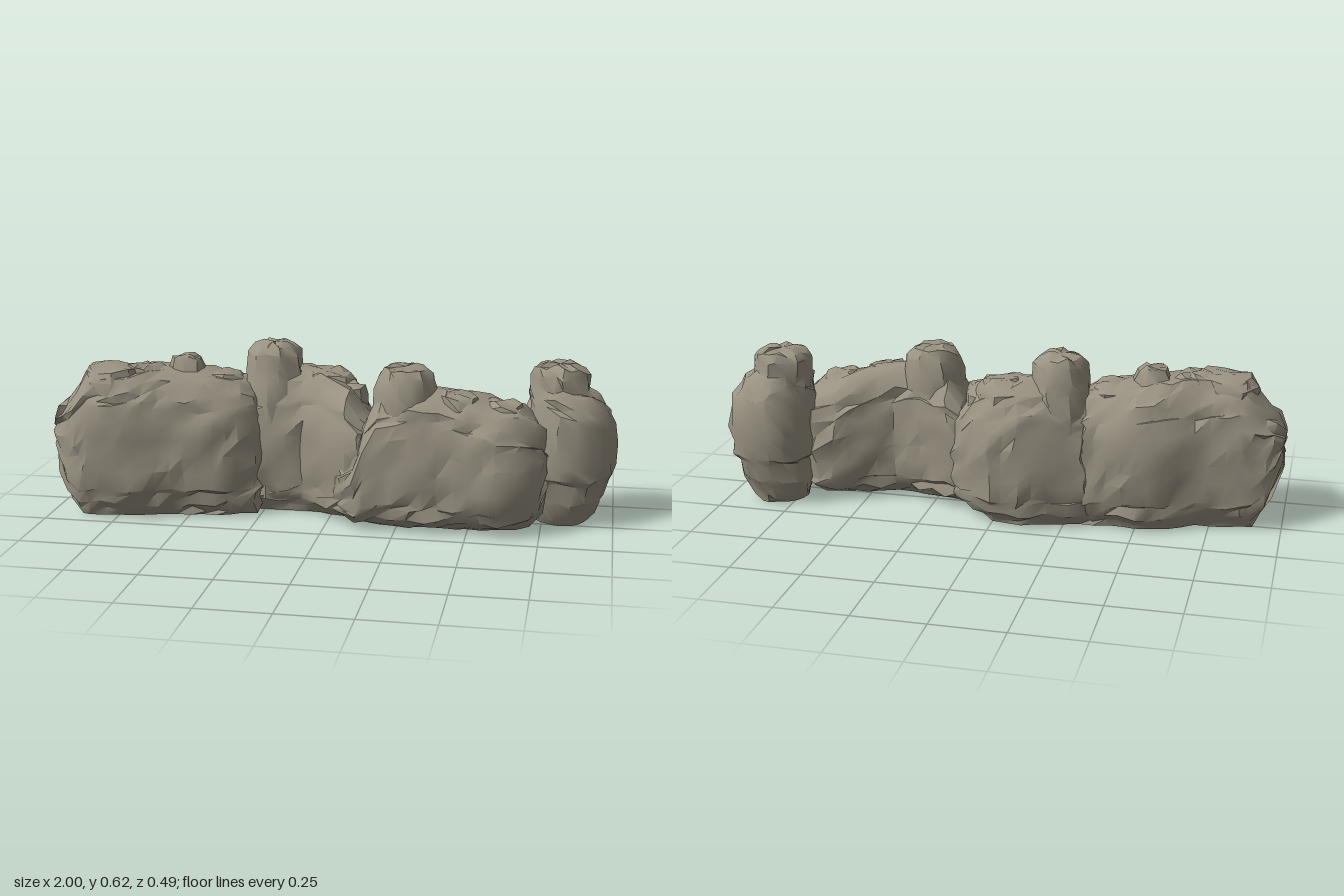
import * as THREE from 'three';
import { toCreasedNormals } from 'three/addons/utils/BufferGeometryUtils.js';

const stone = new THREE.MeshStandardMaterial({ color: 0x9a9383 });
stone.name = 'weathered stone';

// Seeded random, centred on zero
let seed = 7;
function rand() {
  seed = (seed * 16807) % 2147483647;
  return seed / 2147483647 - 0.5;
}

// Skin a list of closed rings, cap both ends and roughen the surface
function skin(name, rings, rough) {
  const n = rings[0].length;
  const pos = [];
  const index = [];
  for (const ring of rings) {
    for (const p of ring) {
      const onGround = p.y < 0.005;
      const y = onGround ? 0 : Math.max(0, p.y + rand() * rough * 1.2);
      pos.push(p.x + rand() * rough, y, p.z + rand() * rough);
    }
  }
  for (let i = 0; i < rings.length - 1; i++) {
    for (let j = 0; j < n; j++) {
      const k = (j + 1) % n;
      const a = i * n + j, b = i * n + k, c = b + n, d = a + n;
      index.push(a, d, c, a, c, b);
    }
  }
  for (const last of [false, true]) {
    const ring = rings[last ? rings.length - 1 : 0];
    const mid = ring.reduce((s, p) => s.add(p), new THREE.Vector3()).divideScalar(n);
    const centre = pos.length / 3;
    pos.push(mid.x, mid.y, mid.z);
    const start = last ? (rings.length - 1) * n : 0;
    for (let j = 0; j < n; j++) {
      const a = start + j, b = start + (j + 1) % n;
      if (last) index.push(centre, b, a);
      else index.push(centre, a, b);
    }
  }
  const geo = new THREE.BufferGeometry();
  geo.setAttribute('position', new THREE.Float32BufferAttribute(pos, 3));
  geo.setIndex(index);
  const mesh = new THREE.Mesh(toCreasedNormals(geo, 0.6), stone);
  mesh.name = name;
  return mesh;
}

// Half of the wall section above its foot, with low ledges: [share of half width, share of height]
const side = [
  [0.86, 0.1], [0.9, 0.17], [0.955, 0.2], [1, 0.33], [1, 0.45], [1, 0.56],
  [0.97, 0.68], [0.91, 0.77], [0.86, 0.8], [0.78, 0.86], [0.64, 0.93], [0.4, 0.985],
];

// Wall from stations [x, back z, front z, bottom, top] on a foot of the given share of width
function wall(name, foot, stations) {
  const half = [[foot, 0], [foot * 0.55 + 0.35, 0.04], ...side];
  const section = [...half, [0, 1], ...half.slice().reverse().map(([w, h]) => [-w, h])];
  const rings = [];
  const addRing = ([x, back, front, bottom, top]) => {
    const mid = (back + front) / 2, w = (front - back) / 2;
    rings.push(section.map(([u, v]) =>
      new THREE.Vector3(x, bottom + v * (top - bottom), mid + u * w)));
  };
  stations.forEach((s, i) => {
    const next = stations[i + 1];
    if (!next) return addRing(s);
    const steps = Math.max(1, Math.round((next[0] - s[0]) / 0.05));
    for (let k = 0; k < steps; k++) {
      addRing(s.map((v, c) => THREE.MathUtils.lerp(v, next[c], k / steps)));
    }
  });
  return skin(name, rings, 0.02);
}

// Upright rock from a profile of [radius, y, x shift]
function pillar(name, x, z, profile, sides = 15) {
  const rings = profile.map(([r, y, shift = 0]) =>
    Array.from({ length: sides }, (_, j) => {
      const a = (j / sides) * Math.PI * 2;
      return new THREE.Vector3(x + shift + r * Math.cos(a), y, z + r * Math.sin(a));
    }));
  return skin(name, rings, 0.017);
}

export function createModel() {
  seed = 7;
  const group = new THREE.Group();
  group.name = 'rockWall';

  // Three winding stretches of wall
  group.add(wall('leftWall', 0.64, [
    [-0.99, 0.03, 0.13, 0.21, 0.35],
    [-0.965, -0.02, 0.165, 0.12, 0.4],
    [-0.93, -0.045, 0.195, 0.05, 0.43],
    [-0.89, -0.06, 0.215, 0, 0.48],
    [-0.85, -0.07, 0.23, 0, 0.53],
    [-0.7, -0.1, 0.23, 0, 0.53],
    [-0.6, -0.16, 0.2, 0, 0.53],
    [-0.5, -0.185, 0.175, 0, 0.52],
    [-0.4, -0.175, 0.16, 0, 0.5],
    [-0.32, -0.17, 0.13, 0, 0.49],
    [-0.27, -0.14, 0.09, 0, 0.46],
    [-0.25, -0.1, 0.04, 0.02, 0.42],
  ]));
  group.add(wall('middleWall', 0.55, [
    [-0.36, -0.13, 0.02, 0, 0.42],
    [-0.32, -0.17, 0.05, 0, 0.47],
    [-0.2, -0.215, 0.06, 0, 0.52],
    [-0.1, -0.24, 0.055, 0, 0.52],
    [0, -0.235, 0.11, 0, 0.5],
    [0.07, -0.205, 0.17, 0.02, 0.47],
    [0.11, -0.17, 0.18, 0.03, 0.41],
    [0.16, -0.11, 0.16, 0.03, 0.37],
  ]));
  group.add(wall('rightWall', 0.3, [
    [0.03, 0.03, 0.13, 0.04, 0.22],
    [0.06, -0.02, 0.175, 0.025, 0.25],
    [0.11, -0.07, 0.2, 0.01, 0.3],
    [0.14, -0.1, 0.205, 0, 0.41],
    [0.19, -0.095, 0.205, 0, 0.48],
    [0.3, -0.05, 0.21, 0, 0.5],
    [0.4, -0.04, 0.2, 0, 0.49],
    [0.5, -0.09, 0.21, 0, 0.47],
    [0.6, -0.135, 0.225, 0, 0.45],
    [0.67, -0.13, 0.205, 0, 0.44],
    [0.72, -0.1, 0.17, 0.02, 0.4],
    [0.75, -0.07, 0.13, 0.06, 0.36],
    [0.765, -0.03, 0.08, 0.13, 0.3],
  ]));

  // Tall rock closing the right end, with low ledges and a narrower head
  group.add(pillar('endPillar', 0.833, -0.083, [
    [0.092, 0, -0.02], [0.11, 0.03, -0.015], [0.128, 0.08, -0.01], [0.138, 0.095, -0.005],
    [0.143, 0.16], [0.158, 0.18], [0.163, 0.22], [0.165, 0.28], [0.16, 0.36],
    [0.15, 0.4], [0.132, 0.43, -0.01], [0.122, 0.46, -0.02], [0.103, 0.48, -0.035],
    [0.1, 0.53, -0.038], [0.085, 0.555, -0.038], [0.05, 0.565, -0.038],
  ], 18));

  // Knobs rising out of the walls
  group.add(pillar('middleKnob', -0.22, -0.068, [
    [0.11, 0.05], [0.122, 0.2], [0.12, 0.4], [0.11, 0.48], [0.1, 0.52],
    [0.093, 0.57], [0.075, 0.6], [0.045, 0.61],
  ]));
  group.add(pillar('rightKnob', 0.27, 0.068, [
    [0.11, 0.34], [0.113, 0.42], [0.108, 0.48], [0.095, 0.53], [0.075, 0.56], [0.045, 0.567],
  ]));
  group.add(pillar('leftKnob', -0.53, 0, [
    [0.09, 0.45], [0.075, 0.515], [0.05, 0.555], [0.03, 0.565],
  ], 9));

  // Small ledges breaking up the crests: [x, z, radius, top]
  [
    [-0.78, 0.08, 0.11, 0.535], [-0.66, 0.05, 0.08, 0.535], [-0.4, -0.02, 0.08, 0.51],
    [-0.03, -0.09, 0.1, 0.51], [0.05, -0.04, 0.07, 0.475], [0.45, 0.08, 0.08, 0.485],
    [0.6, 0.05, 0.09, 0.455],
  ].forEach(([x, z, r, top]) => {
    group.add(pillar('crestRock', x, z, [
      [r * 1.1, top - 0.09], [r * 1.05, top - 0.04], [r * 0.85, top - 0.01], [r * 0.5, top],
    ], 9));
  });

  return group;
}
